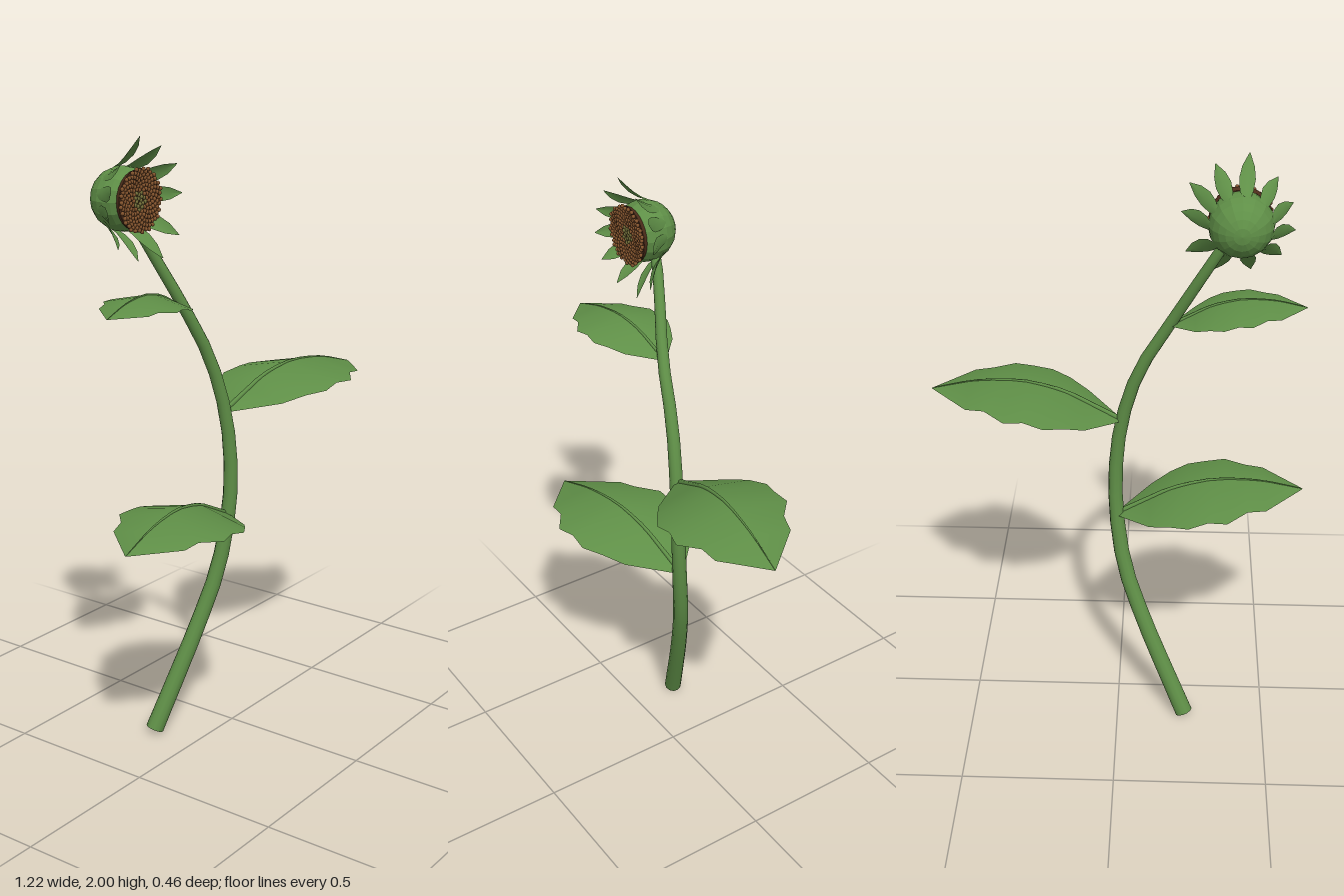
import * as THREE from 'three';
import { mergeGeometries } from 'three/addons/utils/BufferGeometryUtils.js';

const V = (x, y, z) => new THREE.Vector3(x, y, z);

// Blade of three vertices per row: left edge, rib, right edge.
function bladeGeometry(rib, widths, side, drop) {
  const pos = [], index = [];
  rib.forEach((p, i) => {
    for (const s of [-1, 0, 1]) {
      const v = p.clone().addScaledVector(side, s * widths[i]);
      if (s) v.addScaledVector(drop, widths[i]);
      pos.push(v.x, v.y, v.z);
    }
    if (i) for (const c of [0, 1]) {
      const a = (i - 1) * 3 + c, b = a + 3;
      index.push(a, a + 1, b, b, a + 1, b + 1);
    }
  });
  const g = new THREE.BufferGeometry();
  g.setAttribute('position', new THREE.Float32BufferAttribute(pos, 3));
  g.setIndex(index);
  g.computeVertexNormals();
  return g;
}

// Tube whose radius runs from r0 to r1 along its path.
function taperedTube(curve, rows, sides, r0, r1) {
  const g = new THREE.TubeGeometry(curve, rows, 1, sides);
  const p = g.attributes.position, v = V(0, 0, 0);
  for (let i = 0; i < p.count; i++) {
    const t = Math.floor(i / (sides + 1)) / rows;
    const c = curve.getPointAt(t);
    v.fromBufferAttribute(p, i).sub(c).multiplyScalar(r0 + (r1 - r0) * t).add(c);
    p.setXYZ(i, v.x, v.y, v.z);
  }
  return g;
}

export function createModel() {
  const model = new THREE.Group();
  const mat = (name, color, extra = {}) => {
    const m = new THREE.MeshStandardMaterial({ color, ...extra });
    m.name = name;
    return m;
  };
  const green = mat('leaf green', 0x5f8f47, { side: THREE.DoubleSide });
  const domeGreen = green.clone();
  domeGreen.flatShading = true;
  const seedBrown = mat('seed brown', 0x85552e);
  const darkBrown = mat('dark brown', 0x4c2c1a);
  const olive = mat('olive centre', 0x74703a);

  const add = (name, geometry, material, parent = model) => {
    const m = new THREE.Mesh(geometry, material);
    m.name = name;
    parent.add(m);
    return m;
  };

  // Stem
  const path = new THREE.CatmullRomCurve3([
    V(-0.23, 0.013, -0.155), V(-0.08, 0.37, -0.08), V(-0.02, 0.55, -0.045),
    V(0.008, 0.75, -0.02), V(0.01, 0.92, -0.013), V(-0.012, 1.1, -0.02),
    V(-0.065, 1.28, -0.04), V(-0.16, 1.46, -0.07), V(-0.285, 1.7, -0.135),
    V(-0.335, 1.79, -0.15),
  ]);
  add('stem', taperedTube(path, 18, 12, 0.03, 0.016), green);
  const cap = add('stemEnd', new THREE.CircleGeometry(0.03, 12), green);
  cap.position.copy(path.getPointAt(0));
  cap.quaternion.setFromUnitVectors(V(0, 0, 1), path.getTangentAt(0).negate());

  // Serrated arched leaves, each with a raised midrib
  const stations = [ // along, height, half width
    [0, 0, 0.02], [0.17, 0.05, 0.135], [0.275, 0.08, 0.175], [0.375, 0.096, 0.207],
    [0.48, 0.107, 0.197], [0.58, 0.108, 0.207], [0.69, 0.102, 0.152],
    [0.79, 0.092, 0.139], [1, 0.055, 0.002],
  ];
  function leaf(name, base, dir, k) {
    const g = new THREE.Group();
    g.name = name;
    const rib = stations.map(([t, y]) => V(dir * 0.61 * t, y, 0.08 * t));
    add('blade', bladeGeometry(rib, stations.map(s => s[2]), V(0, 0, dir), V(0, -0.22, 0)), green, g);
    add('midrib', taperedTube(new THREE.CatmullRomCurve3(rib), 12, 6, 0.009, 0.001), green, g);
    g.position.copy(base);
    g.scale.setScalar(k);
    model.add(g);
  }
  leaf('upperLeaf', V(-0.165, 1.46, -0.075), -1, 0.68);
  leaf('middleLeaf', V(0, 1.1, -0.024), 1, 1);
  leaf('lowerLeaf', V(0, 0.745, -0.024), -1, 1);

  // Flower head, facing +z
  const head = new THREE.Group();
  head.name = 'flowerHead';
  head.position.set(-0.36, 1.81, 0);
  model.add(head);

  // Rounded green back of the head
  const profile = [];
  for (let i = 0; i <= 8; i++) {
    const a = (i / 8) * 2.1;
    profile.push(new THREE.Vector2(0.098 * Math.sin(a), -0.135 - 0.1 * Math.cos(a)));
  }
  const dome = new THREE.LatheGeometry(profile, 16).rotateX(Math.PI / 2);
  add('calyx', dome, domeGreen, head);

  // Seed disc
  const disc = new THREE.CylinderGeometry(0.094, 0.088, 0.015, 24).rotateX(Math.PI / 2);
  disc.translate(0, 0, -0.081);
  add('seedDisc', disc, darkBrown, head);
  const outer = [], inner = [], count = 190;
  for (let i = 0; i < count; i++) {
    const r = 0.095 * Math.sqrt((i + 0.5) / count), a = i * 2.39996;
    const s = new THREE.SphereGeometry(0.0066, 7, 5);
    s.translate(r * Math.cos(a), r * Math.sin(a), -0.073 + 0.006 * (r / 0.095) ** 2);
    (i < 16 ? inner : outer).push(s);
  }
  add('seeds', mergeGeometries(outer), seedBrown, head);
  add('centreSeeds', mergeGeometries(inner), olive, head);

  // Pointed bracts flaring forward: angle in degrees, reach
  const bracts = [
    [96, 0.19], [63, 0.173], [32, 0.18], [2, 0.175], [-37, 0.2], [-66, 0.197],
    [-102, 0.178], [-135, 0.18], [-164, 0.171], [166, 0.158], [132, 0.157],
  ];
  for (const [deg, reach] of bracts) {
    const at = (f, z) => V(0.092 + (reach - 0.092) * f, 0, z);
    const rib = [at(0, -0.165), at(0.17, -0.135), at(0.42, -0.105), at(0.7, -0.078), at(1, -0.052)];
    const g = bladeGeometry(rib, [0.012, 0.02, 0.024, 0.018, 0.001], V(0, 1, 0), V(-0.2, 0, 0.2));
    add('bract', g, green, head).rotation.z = THREE.MathUtils.degToRad(deg);
  }
  return model;
}
